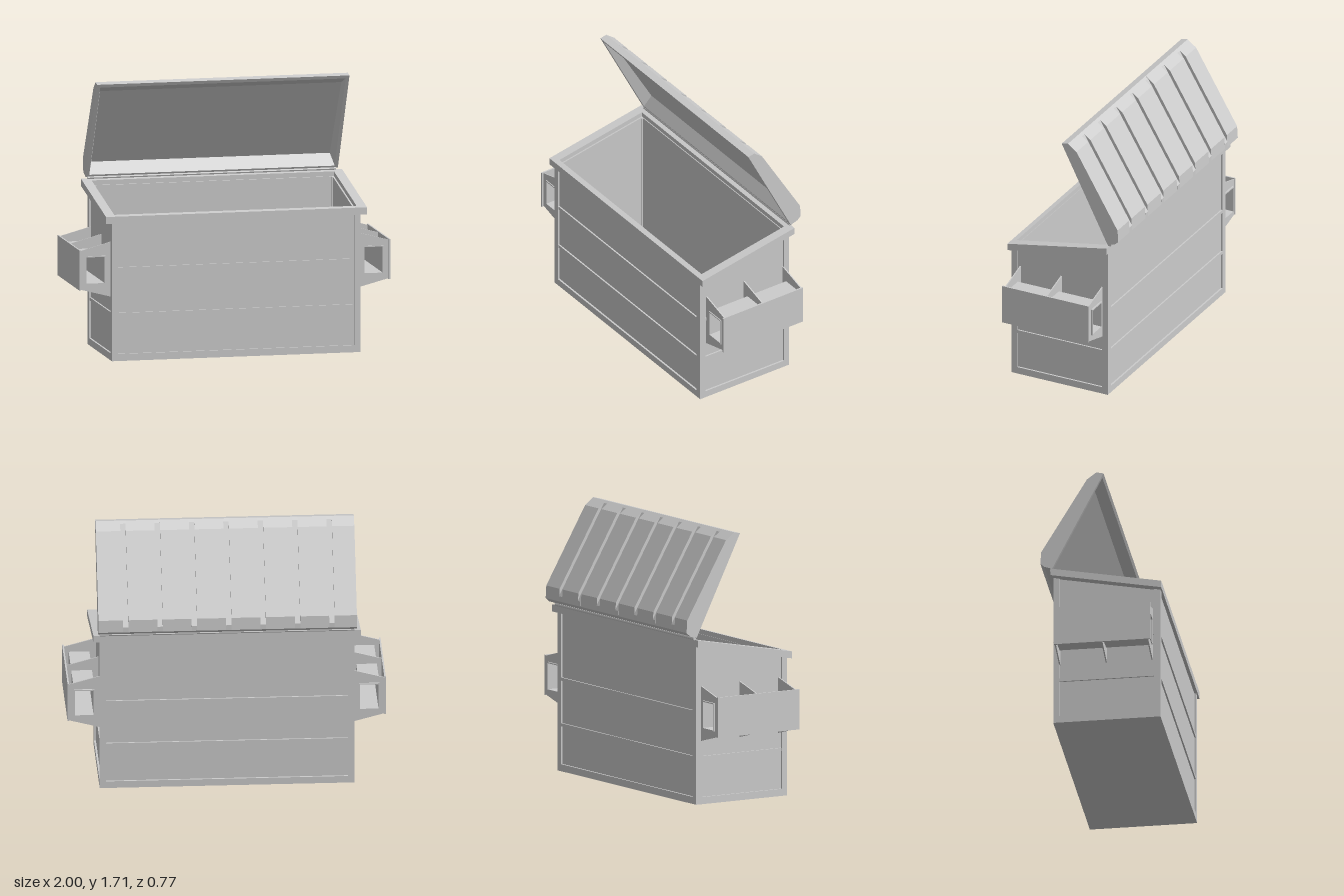
import * as THREE from 'three';

const material = new THREE.MeshStandardMaterial({ color: 0xcccccc, flatShading: true, side: THREE.DoubleSide });
// Height of the underside of the sloping rim at depth z
const rimY = (z) => 0.875 + 0.186 * (0.385 - z);

function add(parent, name, geometry) {
  const mesh = new THREE.Mesh(geometry, material);
  mesh.name = name;
  parent.add(mesh);
  return mesh;
}

// Move every vertex by a rule
function warp(geometry, rule) {
  const p = geometry.attributes.position;
  const v = new THREE.Vector3();
  for (let i = 0; i < p.count; i++) {
    rule(v.fromBufferAttribute(p, i));
    p.setXYZ(i, v.x, v.y, v.z);
  }
  geometry.computeVertexNormals();
  return geometry;
}

function box(x0, x1, y0, y1, z0, z1) {
  const g = new THREE.BoxGeometry(Math.abs(x1 - x0), y1 - y0, Math.abs(z1 - z0));
  return g.translate((x0 + x1) / 2, (y0 + y1) / 2, (z0 + z1) / 2);
}

// Box from the floor whose top follows the slope of the rim
const slopedBox = (x0, x1, z0, z1) =>
  warp(box(x0, x1, 0.02, 1, z0, z1), (v) => { if (v.y > 0.5) v.y = rimY(v.z) + 0.015; });

const polygon = (points) => new THREE.Shape(points.map(([x, y]) => new THREE.Vector2(x, y)));
const rectangle = (x0, x1, y0, y1) => polygon([[x0, y0], [x1, y0], [x1, y1], [x0, y1]]);
const extrude = (shape, depth) => new THREE.ExtrudeGeometry(shape, { depth, bevelEnabled: false });

// Extrude a (z, y) profile across x0..x1
const across = (points, x0, x1) =>
  extrude(polygon(points), x1 - x0).rotateY(-Math.PI / 2).translate(x1, 0, 0);

function makeBody() {
  const body = new THREE.Group();
  body.name = 'body';
  add(body, 'floor', box(-0.8, 0.8, 0, 0.045, -0.305, 0.375));

  // Recessed wall sheets
  add(body, 'frontWall', slopedBox(-0.77, 0.77, 0.345, 0.363));
  add(body, 'backWall', slopedBox(-0.77, 0.77, -0.293, -0.275));
  for (const s of [1, -1]) {
    add(body, 'sideWall', slopedBox(s * 0.77, s * 0.788, -0.285, 0.355));
    add(body, 'frontCornerPost', slopedBox(s * 0.76, s * 0.8, 0.335, 0.375));
    add(body, 'backCornerPost', slopedBox(s * 0.76, s * 0.8, -0.305, -0.265));
  }

  // Horizontal beads dividing the panels
  for (const y of [0.285, 0.575]) {
    add(body, 'frontBead', box(-0.76, 0.76, y, y + 0.02, 0.36, 0.373));
    add(body, 'backBead', box(-0.76, 0.76, y, y + 0.02, -0.303, -0.29));
    for (const s of [1, -1])
      add(body, 'sideBead', box(s * 0.785, s * 0.798, y, y + 0.02, -0.265, 0.335));
  }

  // Sloping rim around the opening
  const ring = rectangle(-0.84, 0.84, -0.385, 0.318);
  ring.holes.push(rectangle(-0.78, 0.78, -0.35, 0.28));
  const rim = extrude(ring, 0.045).rotateX(-Math.PI / 2);
  add(body, 'rim', warp(rim, (v) => { v.y += rimY(v.z); }));
  return body;
}

// Fork sleeve on one side: gussets, square tube and outer plate
function makeForkPocket(s) {
  const pocket = new THREE.Group();
  pocket.name = s > 0 ? 'leftForkPocket' : 'rightForkPocket';
  for (const z of [0.32, 0.03, -0.265]) {
    const plate = polygon([[0.785, 0.4], [0.995, 0.455], [0.995, 0.698], [0.785, 0.755]].map(([x, y]) => [s * x, y]));
    plate.holes.push(rectangle(s * 0.837, s * 0.953, 0.492, 0.658));
    add(pocket, 'gusset', extrude(plate, 0.008).translate(0, 0, z - 0.004));
  }
  const tube = rectangle(s * 0.83, s * 0.96, 0.485, 0.665);
  tube.holes.push(rectangle(s * 0.837, s * 0.953, 0.492, 0.658));
  add(pocket, 'sleeve', extrude(tube, 0.61).translate(0, 0, -0.28));
  add(pocket, 'outerPlate', box(s * 0.99, s, 0.45, 0.705, -0.272, 0.338));
  return pocket;
}

function makeLid() {
  const lid = new THREE.Group();
  lid.name = 'lid';
  // Profiles as (z, y), starting at the hinge edge
  const foot = [[-0.31, 1.062], [-0.36, 1.078], [-0.385, 1.1]];
  const tip = [[-0.03, 1.71], [0.015, 1.7]];
  const inside = [[0.005, 1.68], [-0.06, 1.647], [-0.345, 1.152], [-0.303, 1.076]];
  const outline = [...foot, [-0.38, 1.18], [-0.09, 1.665], ...tip];
  const ridge = [...outline, ...inside];
  const groove = [...foot, [-0.385, 1.133], [-0.048, 1.696], ...tip, ...inside];

  // Shell panels separated by seven pressed grooves
  let x = -0.8;
  for (let i = 0; i < 7; i++) {
    const centre = -0.655 + i * 0.216;
    add(lid, 'lidPanel', across(ridge, x, centre - 0.017));
    add(lid, 'lidGroove', across(groove, centre - 0.017, centre + 0.017));
    x = centre + 0.017;
  }
  add(lid, 'lidPanel', across(ridge, x, 0.8));

  // End walls, thickening toward the back of the lid
  for (const s of [1, -1]) {
    const end = across(outline, s > 0 ? 0.79 : -0.812, s > 0 ? 0.812 : -0.79);
    add(lid, 'lidEnd', warp(end, (v) => {
      if (Math.abs(v.x) > 0.8) return;
      const depth = (-0.89 * (v.z + 0.31) + 0.456 * (v.y - 1.065)) / 0.11;
      v.x = s * (0.79 - 0.035 * THREE.MathUtils.clamp(depth, 0, 1));
    }));
  }

  // Hinge rod
  const rod = new THREE.CylinderGeometry(0.011, 0.011, 1.6, 8).rotateZ(Math.PI / 2);
  add(lid, 'hingeRod', rod.translate(0, 1.057, -0.316));
  return lid;
}

export function createModel() {
  const model = new THREE.Group();
  model.name = 'wasteContainer';
  model.add(makeBody(), makeForkPocket(1), makeForkPocket(-1), makeLid());
  return model;
}
